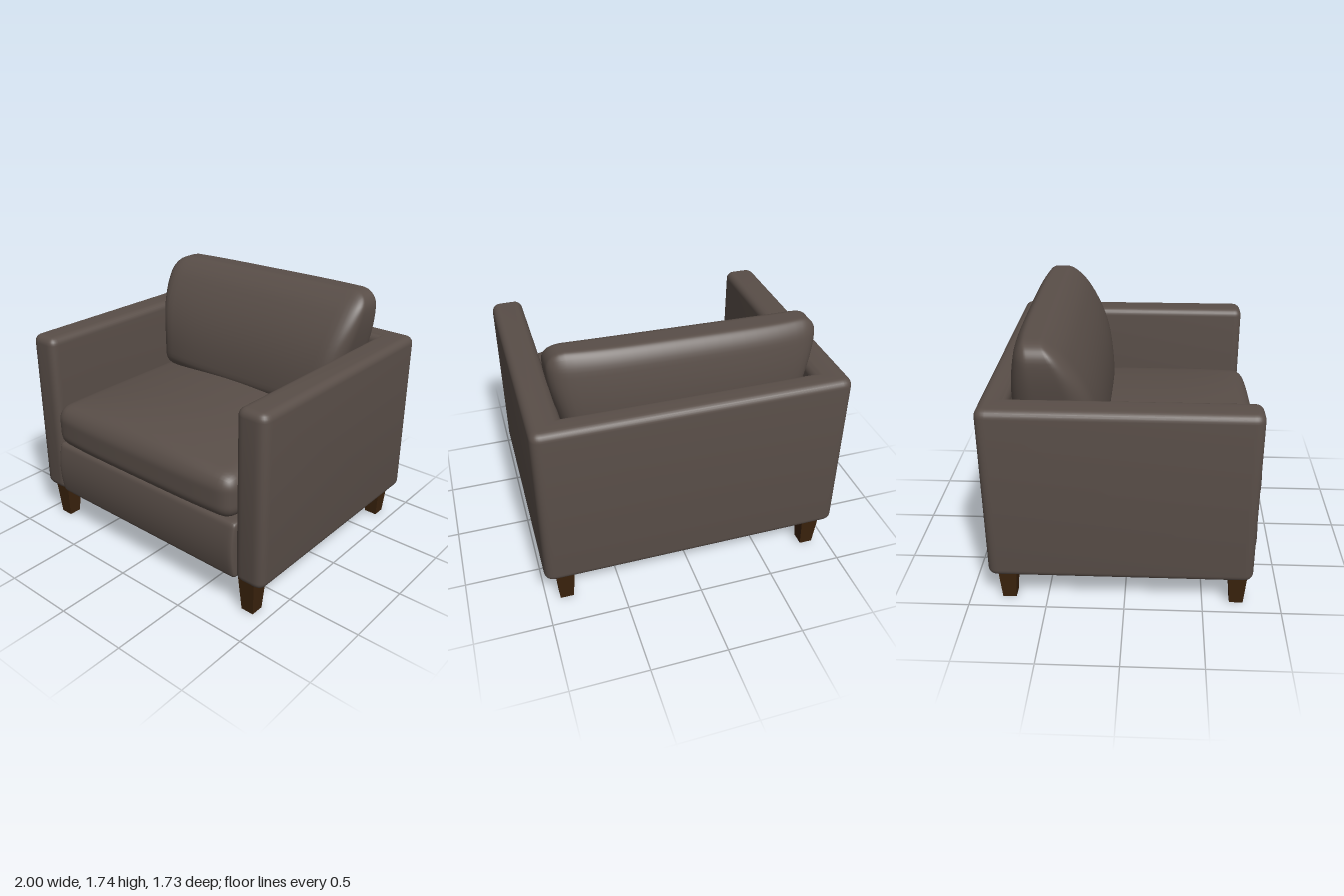
import * as THREE from 'three';
import { mergeVertices, toCreasedNormals } from 'three/addons/utils/BufferGeometryUtils.js';

const fabric = new THREE.MeshStandardMaterial({ color: 0x594e48 });
fabric.name = 'brown fabric';
const wood = new THREE.MeshStandardMaterial({ color: 0x3b230d });
wood.name = 'dark wood';

// Rounded box centred on the origin; shape(p, u) then pushes each point, u running -1..1.
function softBox(w, h, d, r, shape) {
  let geo = new THREE.BoxGeometry(2, 2, 2, 30, 30, 30);
  geo.deleteAttribute('uv');
  geo.deleteAttribute('normal');
  geo = mergeVertices(geo);
  const half = new THREE.Vector3(w / 2, h / 2, d / 2);
  const inner = half.clone().subScalar(r);
  const pos = geo.attributes.position;
  const p = new THREE.Vector3(), core = new THREE.Vector3(), u = new THREE.Vector3();
  for (let i = 0; i < pos.count; i++) {
    p.fromBufferAttribute(pos, i);
    // crowd the grid towards the edges, where the rounding is
    p.set(Math.sin(p.x * Math.PI / 2), Math.sin(p.y * Math.PI / 2), Math.sin(p.z * Math.PI / 2)).multiply(half);
    core.copy(p).clamp(inner.clone().negate(), inner);
    p.sub(core).setLength(r).add(core);
    u.copy(p).divide(half);
    shape(p, u);
    pos.setXYZ(i, p.x, p.y, p.z);
  }
  geo.computeVertexNormals();
  return geo;
}

// U-shaped shell: both arms and the back in one padded piece.
function shellGeometry() {
  const pts = [
    [-1, 0.86, 0.07], [-1, -0.81, 0.07], [-0.79, -0.81, 0.06], [-0.79, 0.69, 0],
    [0.79, 0.69, 0], [0.79, -0.81, 0.06], [1, -0.81, 0.07], [1, 0.86, 0.07],
  ];
  const s = new THREE.Shape();
  pts.forEach(([x, y, r], i) => {
    const corner = new THREE.Vector2(x, y);
    const toward = (q) => new THREE.Vector2(q[0], q[1]).sub(corner).setLength(r).add(corner);
    const a = toward(pts[(i + pts.length - 1) % pts.length]);
    const b = toward(pts[(i + 1) % pts.length]);
    if (i === 0) s.moveTo(a.x, a.y); else s.lineTo(a.x, a.y);
    if (r > 0) s.quadraticCurveTo(x, y, b.x, b.y);
  });
  s.closePath();
  const bevel = 0.05;
  const geo = new THREE.ExtrudeGeometry(s, {
    depth: 1.16 - 2 * bevel, bevelThickness: bevel, bevelSize: bevel,
    bevelOffset: -bevel, bevelSegments: 6, curveSegments: 8,
  });
  geo.rotateX(-Math.PI / 2);
  geo.translate(0, 0.23 + bevel, 0);
  return toCreasedNormals(geo, 0.7);
}

export function createModel() {
  const chair = new THREE.Group();
  chair.name = 'armchair';
  const add = (name, geo, mat) => {
    const mesh = new THREE.Mesh(geo, mat);
    mesh.name = name;
    chair.add(mesh);
    return mesh;
  };

  add('armsAndBack', shellGeometry(), fabric);

  // Seat base with a slightly padded front
  add('seatBase', softBox(1.6, 0.4, 1.6, 0.03, (p, u) => {
    if (u.z > 0) p.z += 0.03 * u.z * (1 - u.y * u.y);
    p.y += 0.432;
    p.z += 0.01;
  }), fabric);

  // Seat cushion, crowned on top and full at the front
  add('seatCushion', softBox(1.58, 0.3, 1.52, 0.1, (p, u) => {
    const crown = (1 - u.x * u.x) * (1 - u.z ** 4);
    if (u.y > 0) p.y += 0.085 * crown * u.y;
    if (u.z > 0) p.z += 0.025 * u.z * (1 - u.x ** 4);
    p.y += 0.78;
    p.z += 0.08;
  }), fabric);

  // Leaning back cushion: thick at the bottom, narrow at the top, wider above the arms
  add('backCushion', softBox(1.6, 0.8, 0.4, 0.11, (p, u) => {
    const t = (u.y + 1) / 2;
    const edge = u.x ** 4;
    const front = -0.13 - 0.31 * t ** 2.6 - 0.06 * edge * (1 - t);
    const back = -0.66 - 0.05 * Math.sin(Math.PI * t) + 0.045 * edge;
    p.x = u.x * (0.76 + 0.075 * THREE.MathUtils.smoothstep(t, 0.2, 0.85));
    p.y += 1.33 + 0.012 * u.x * t;
    p.z = THREE.MathUtils.lerp(back, front, (u.z + 1) / 2);
  }), fabric);

  // Four tapered square legs
  for (const [side, x] of [['left', 0.865], ['right', -0.86]]) {
    for (const [end, z] of [['Front', 0.72], ['Back', -0.75]]) {
      const geo = new THREE.CylinderGeometry(0.062 * Math.SQRT2, 0.044 * Math.SQRT2, 0.25, 4);
      geo.rotateY(Math.PI / 4);
      const leg = add(`${side}${end}Leg`, toCreasedNormals(geo, 0.5), wood);
      leg.position.set(x, 0.125, z);
    }
  }
  return chair;
}
